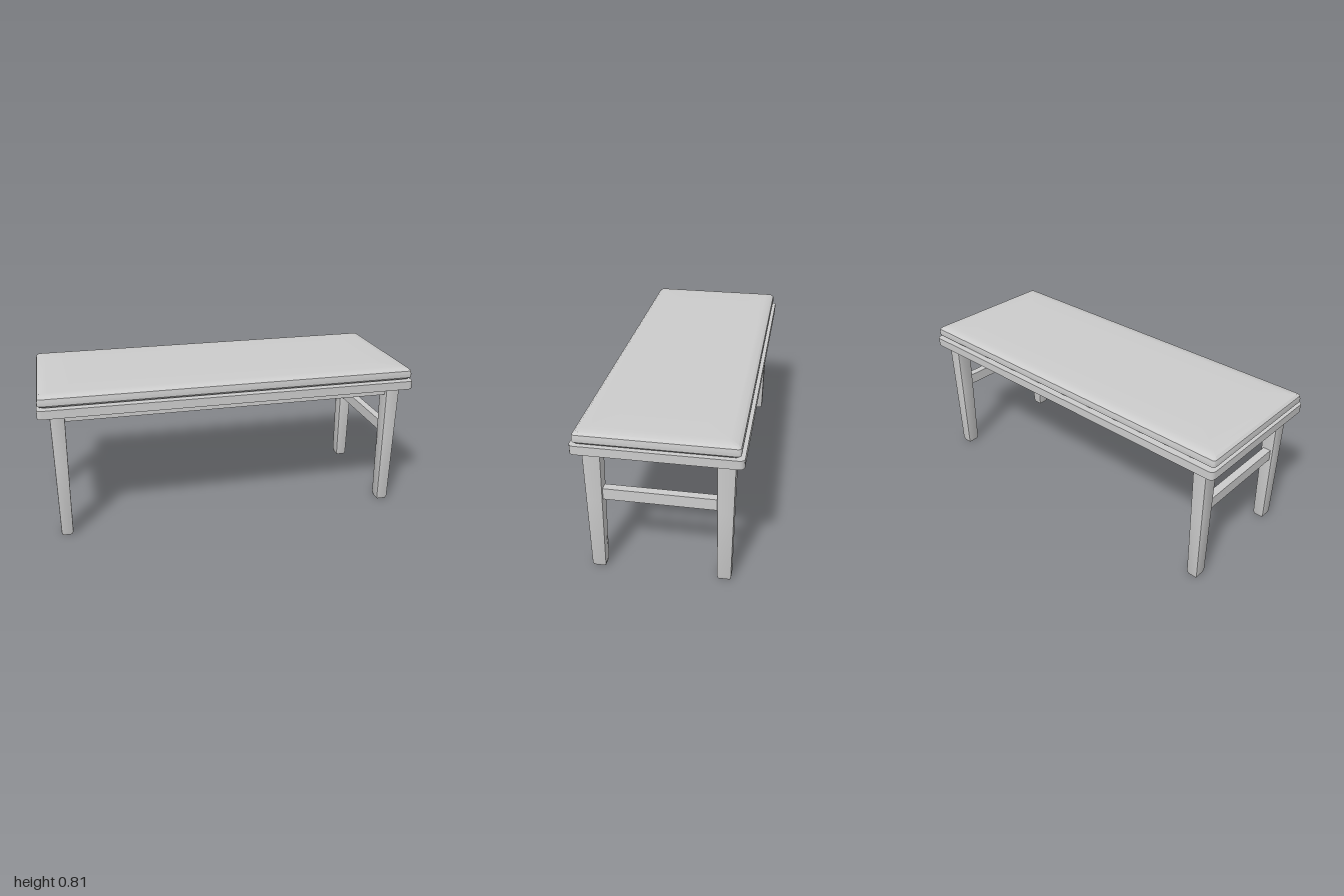
import * as THREE from 'three';
import { toCreasedNormals } from 'three/addons/utils/BufferGeometryUtils.js';

const material = new THREE.MeshStandardMaterial({ color: 0xcccccc });

// Closed solid through stacked rounded rectangles: [halfX, halfZ, y, cornerRadius]
function loft(rings, crease = 0.5, cornerSteps = 4) {
  const pos = [], index = [];
  const n = 4 * (cornerSteps + 1);
  for (const [hx, hz, y, r] of rings) {
    for (let c = 0; c < 4; c++) {
      const sx = c === 0 || c === 3 ? 1 : -1;
      const sz = c < 2 ? 1 : -1;
      for (let k = 0; k <= cornerSteps; k++) {
        const a = (c + k / cornerSteps) * Math.PI / 2;
        pos.push(sx * (hx - r) + r * Math.cos(a), y, sz * (hz - r) + r * Math.sin(a));
      }
    }
  }
  const last = (rings.length - 1) * n, bottom = rings.length * n, top = bottom + 1;
  pos.push(0, rings[0][2], 0, 0, rings[rings.length - 1][2], 0);
  for (let j = 0; j < n; j++) {
    const k = (j + 1) % n;
    for (let i = 0; i < last; i += n) {
      index.push(i + j, i + n + j, i + n + k, i + j, i + n + k, i + k);
    }
    index.push(bottom, j, k, top, last + k, last + j);
  }
  const geometry = new THREE.BufferGeometry();
  geometry.setAttribute('position', new THREE.Float32BufferAttribute(pos, 3));
  geometry.setIndex(index);
  return toCreasedNormals(geometry, crease);
}

export function createModel() {
  const bench = new THREE.Group();
  bench.name = 'bench';

  function add(name, geometry, x = 0, y = 0, z = 0) {
    const mesh = new THREE.Mesh(geometry, material);
    mesh.name = name;
    mesh.position.set(x, y, z);
    bench.add(mesh);
  }

  // Seat board with rounded plan corners
  add('seatBoard', loft([[1, 0.4, 0.69, 0.025], [1, 0.4, 0.735, 0.025]]));

  // Padded cushion: tucked underside, upright sides, softly domed top
  add('cushion', loft([
    [0.97, 0.36, 0.735, 0.015],
    [0.985, 0.373, 0.742, 0.015],
    [0.994, 0.384, 0.752, 0.015],
    [0.995, 0.385, 0.77, 0.015],
    [0.992, 0.382, 0.788, 0.015],
    [0.98, 0.368, 0.799, 0.012],
    [0.94, 0.33, 0.802, 0.01],
    [0.8, 0.22, 0.805, 0.01],
    [0.6, 0.1, 0.806, 0.01],
  ], 0.6));

  // Four tapered legs with eased feet
  const legX = 0.903, legZ = 0.315;
  const leg = loft([
    [0.026, 0.031, 0, 0.004],
    [0.031, 0.035, 0.018, 0.005],
    [0.034, 0.04, 0.4, 0.005],
    [0.037, 0.044, 0.69, 0.005],
  ], 0.5, 2);
  for (const sx of [-1, 1]) {
    for (const sz of [-1, 1]) {
      add(`${sz > 0 ? 'front' : 'back'}${sx > 0 ? 'Left' : 'Right'}Leg`, leg, sx * legX, 0, sz * legZ);
    }
  }

  // Apron rails under the board, and a stretcher between the legs at each end
  const longRail = new THREE.BoxGeometry(1.74, 0.045, 0.045);
  const endRail = new THREE.BoxGeometry(0.045, 0.045, 0.56);
  const stretcher = new THREE.BoxGeometry(0.042, 0.06, 0.56);
  for (const s of [-1, 1]) {
    const side = s > 0 ? 'left' : 'right';
    add(s > 0 ? 'frontApron' : 'backApron', longRail, 0, 0.6685, s * legZ);
    add(`${side}Apron`, endRail, s * legX, 0.6685, 0);
    add(`${side}Stretcher`, stretcher, s * legX, 0.435, 0);
  }

  return bench;
}
